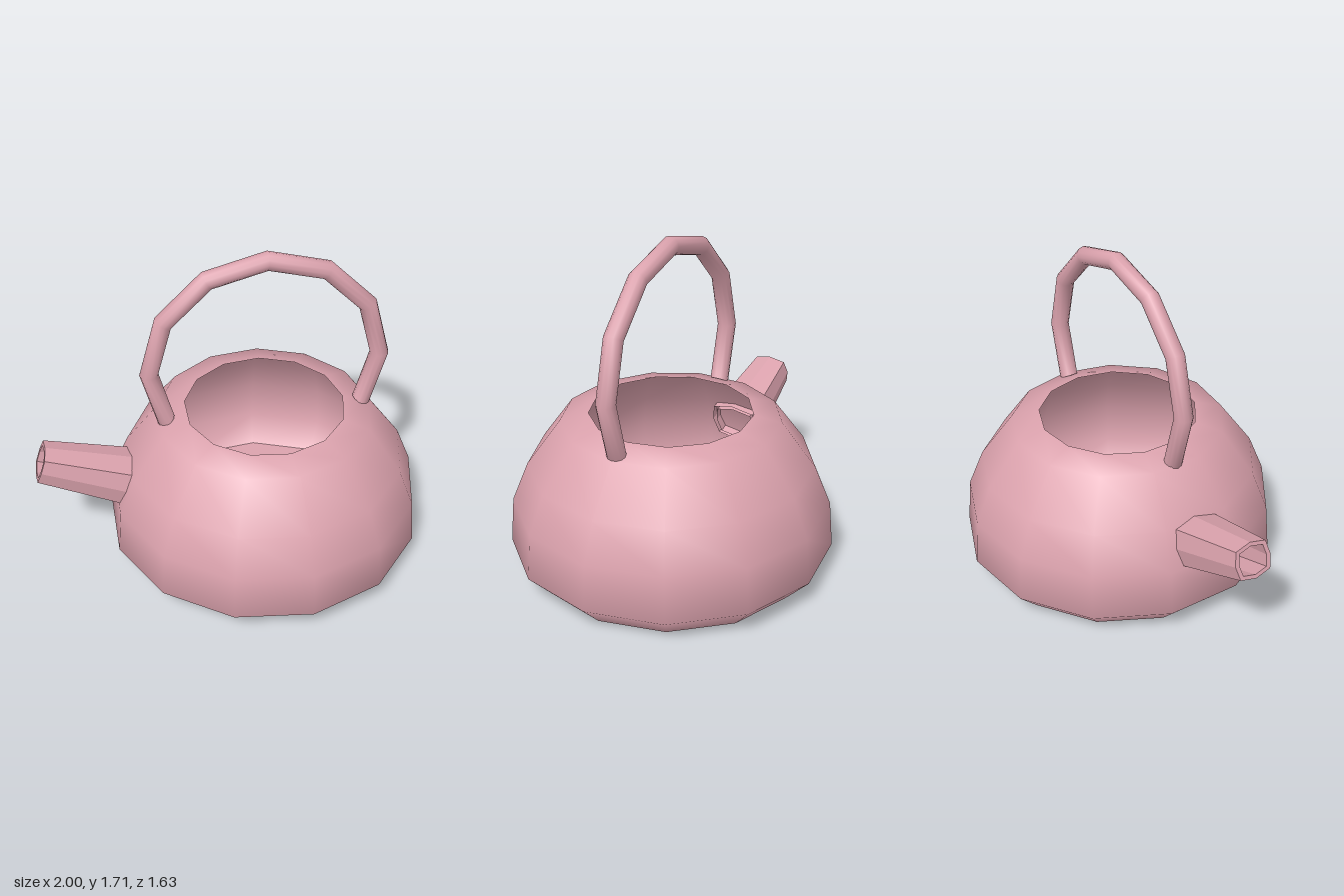
import * as THREE from 'three';

const pink = new THREE.MeshStandardMaterial({ color: 0xdba2ad, side: THREE.DoubleSide });
pink.name = 'pink enamel';

const CENTRE_X = 0.18; // axis of the pot
const SIDES = 13;

function addMesh(parent, name, geometry, x = 0, y = 0) {
  const mesh = new THREE.Mesh(geometry, pink);
  mesh.name = name;
  mesh.position.set(x, y, 0);
  parent.add(mesh);
  return mesh;
}

// Flat-shaded skin through a list of closed rings
function loft(rings) {
  const pos = [];
  for (let r = 0; r < rings.length - 1; r++) {
    const n = rings[r].length;
    for (let i = 0; i < n; i++) {
      const j = (i + 1) % n;
      const a = rings[r][i], b = rings[r][j], c = rings[r + 1][j], d = rings[r + 1][i];
      for (const p of [a, b, c, a, c, d]) pos.push(p.x, p.y, p.z);
    }
  }
  const geometry = new THREE.BufferGeometry();
  geometry.setAttribute('position', new THREE.Float32BufferAttribute(pos, 3));
  geometry.computeVertexNormals();
  return geometry;
}

// Hollow tapered spout with a softened square section
function spoutGeometry() {
  const section = [[0.1, 0], [0.085, 0.07], [0, 0.09], [-0.085, 0.07],
    [-0.1, 0], [-0.085, -0.07], [0, -0.09], [0.085, -0.07]];
  const base = new THREE.Vector3(-0.52, 0.447, 0);
  const tip = new THREE.Vector3(-0.97, 0.61, 0);
  const axis = tip.clone().sub(base).normalize();
  const up = new THREE.Vector3(-axis.y, axis.x, 0).negate();
  const ring = (centre, scale) => section.map(([z, h]) => {
    const p = centre.clone().addScaledVector(up, h * scale);
    p.z = z * scale;
    return p;
  });
  return loft([ring(base, 1.39), ring(tip, 1), ring(tip, 0.78), ring(base, 1.17)]);
}

export function createModel() {
  const kettle = new THREE.Group();
  kettle.name = 'kettle';

  // Open pot: wall from the base up to the rim, plus a flat floor
  const profile = [[0.7, 0], [0.82, 0.125], [0.8, 0.36], [0.72, 0.555], [0.55, 0.785], [0.408, 0.82]]
    .map(([r, y]) => new THREE.Vector2(r, y));
  addMesh(kettle, 'potWall', new THREE.LatheGeometry(profile, SIDES, Math.PI / 2), CENTRE_X);
  addMesh(kettle, 'potFloor', new THREE.CircleGeometry(0.7, SIDES).rotateX(Math.PI / 2), CENTRE_X);

  addMesh(kettle, 'spout', spoutGeometry());

  // Hoop handle in eight straight pieces, with closed ends
  const handle = new THREE.Group();
  handle.name = 'handle';
  handle.position.set(CENTRE_X, 1.08, 0);
  kettle.add(handle);
  const radius = 0.58, tube = 0.047;
  addMesh(handle, 'handleHoop',
    new THREE.TorusGeometry(radius, tube, 12, 8, Math.PI * 4 / 3).rotateZ(-Math.PI / 6));
  for (const side of [1, -1]) {
    const cap = addMesh(handle, side > 0 ? 'leftHandleEnd' : 'rightHandleEnd',
      new THREE.CircleGeometry(tube, 12).rotateX(Math.PI / 2),
      side * radius * Math.cos(Math.PI / 6), -radius / 2);
    cap.rotation.z = -side * Math.PI / 6;
  }

  return kettle;
}
